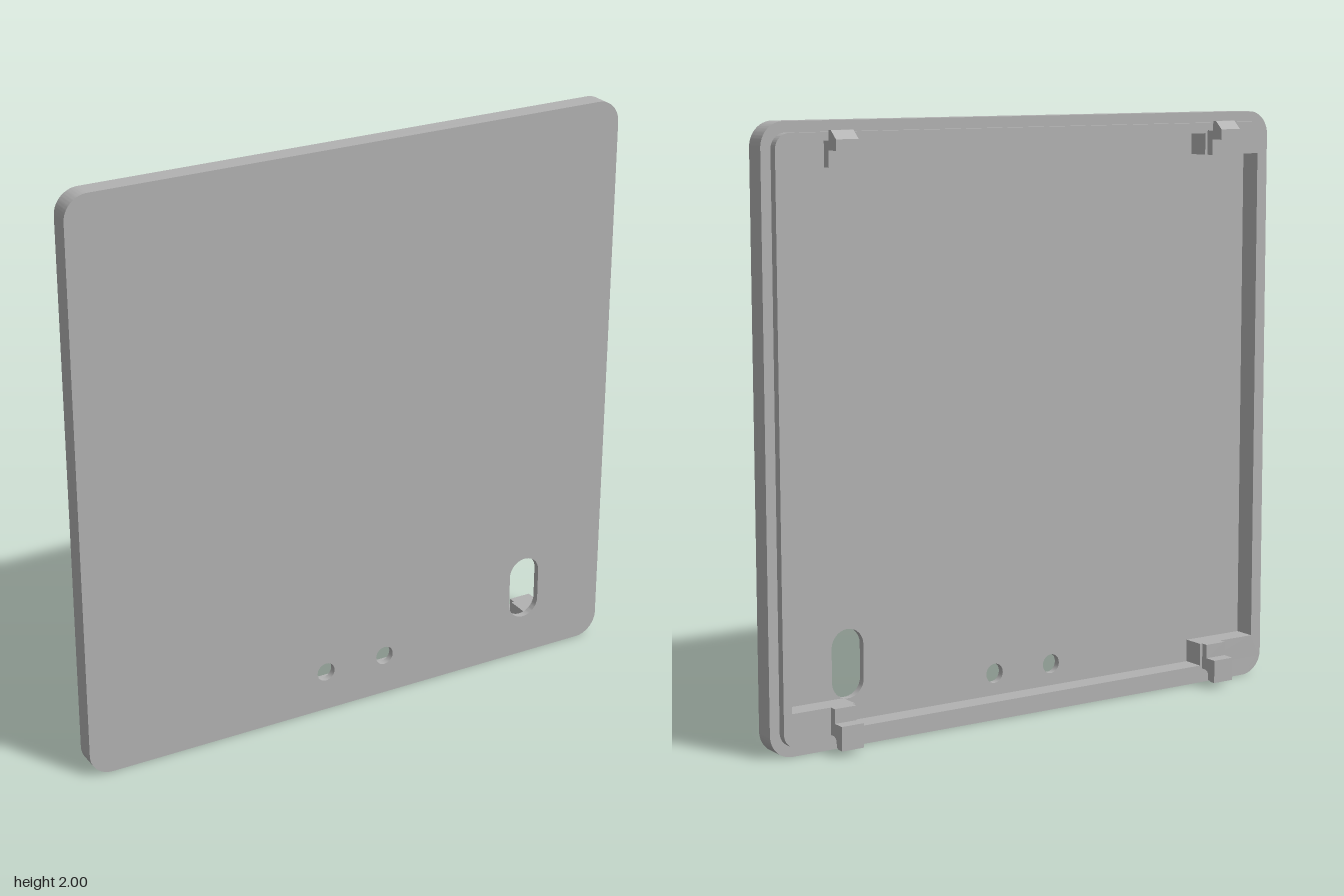
import * as THREE from 'three';
import { toCreasedNormals } from 'three/addons/utils/BufferGeometryUtils.js';

const FRONT = 0.0875, FLOOR = 0.064, STEP = 0.016, RIM = -0.0125; // z levels, front to back

// Rounded rectangle centred on x = 0, y = 1
function roundedRect(hw, hh, r) {
  const s = new THREE.Shape();
  s.absarc(hw - r, 1 + hh - r, r, 0, Math.PI / 2);
  s.absarc(-hw + r, 1 + hh - r, r, Math.PI / 2, Math.PI);
  s.absarc(-hw + r, 1 - hh + r, r, Math.PI, Math.PI * 1.5);
  s.absarc(hw - r, 1 - hh + r, r, Math.PI * 1.5, Math.PI * 2);
  s.closePath();
  return s;
}

function extrude(shape, depth) {
  const g = new THREE.ExtrudeGeometry(shape, { depth, bevelEnabled: false, curveSegments: 12 });
  return toCreasedNormals(g, Math.PI / 6);
}

// Cavity outline: a rectangle stepped inward at the four corner blocks
function cavity() {
  const x = 0.93, bx = 0.7, low = 0.07, high = 1.93, blockLow = 0.148, blockHigh = 1.857;
  return new THREE.Path([
    [-x, blockLow], [-bx, blockLow], [-bx, low], [bx, low], [bx, blockLow], [x, blockLow],
    [x, blockHigh], [bx, blockHigh], [bx, high], [-bx, high], [-bx, blockHigh], [-x, blockHigh],
  ].map(([a, b]) => new THREE.Vector2(a, b)).concat(new THREE.Vector2(-x, blockLow)));
}

export function createModel() {
  const group = new THREE.Group();
  const grey = new THREE.MeshStandardMaterial({ name: 'grey plastic', color: 0xb2b2b2 });
  const add = (name, geometry) => {
    const mesh = new THREE.Mesh(geometry, grey);
    mesh.name = name;
    group.add(mesh);
    return mesh;
  };

  // Front panel with two round holes and an upright slot
  const panel = roundedRect(0.995, 1, 0.08);
  for (const x of [-0.115, 0.115]) {
    panel.holes.push(new THREE.Path().absarc(x, 0.145, 0.033, 0, Math.PI * 2, true));
  }
  const slot = new THREE.Path();
  slot.absarc(0.682, 0.315, 0.059, 0, Math.PI);
  slot.absarc(0.682, 0.204, 0.059, Math.PI, Math.PI * 2);
  slot.closePath();
  panel.holes.push(slot);
  add('frontPanel', extrude(panel, FRONT - FLOOR)).position.z = FLOOR;

  // Side walls around the cavity, then the inset rim behind them
  const walls = roundedRect(0.995, 1, 0.08);
  walls.holes.push(cavity());
  add('sideWalls', extrude(walls, FLOOR - STEP)).position.z = STEP;

  const rim = roundedRect(0.96, 0.965, 0.05);
  rim.holes.push(cavity());
  add('insetRim', extrude(rim, STEP - RIM)).position.z = RIM;

  // Clip profiles as [distance behind z = 0, height]
  const clips = {
    topClip: [[0.01, 1.857], [0.04, 1.857], [0.04, 1.91], [0.0875, 1.91], [0.0875, 1.945],
      [0.057, 1.972], [0.042, 1.972], [0.042, 1.94], [0.01, 1.94]],
    bottomClip: [[0.01, 0.058], [0.032, 0.058], [0.042, 0.053], [0.047, 0.043], [0.047, 0.025],
      [0.06, 0.02], [0.081, 0.02], [0.081, 0.1], [0.037, 0.1], [0.037, 0.148], [0.01, 0.148]],
  };
  for (const [name, points] of Object.entries(clips)) {
    const profile = new THREE.Shape(points.map(([d, y]) => new THREE.Vector2(d, y)));
    for (const [side, x] of [['Left', 0.75], ['Right', -0.75]]) {
      const g = extrude(profile, 0.08);
      g.rotateY(Math.PI / 2);
      add(name + side, g).position.x = x - 0.04;
    }
  }
  return group;
}
